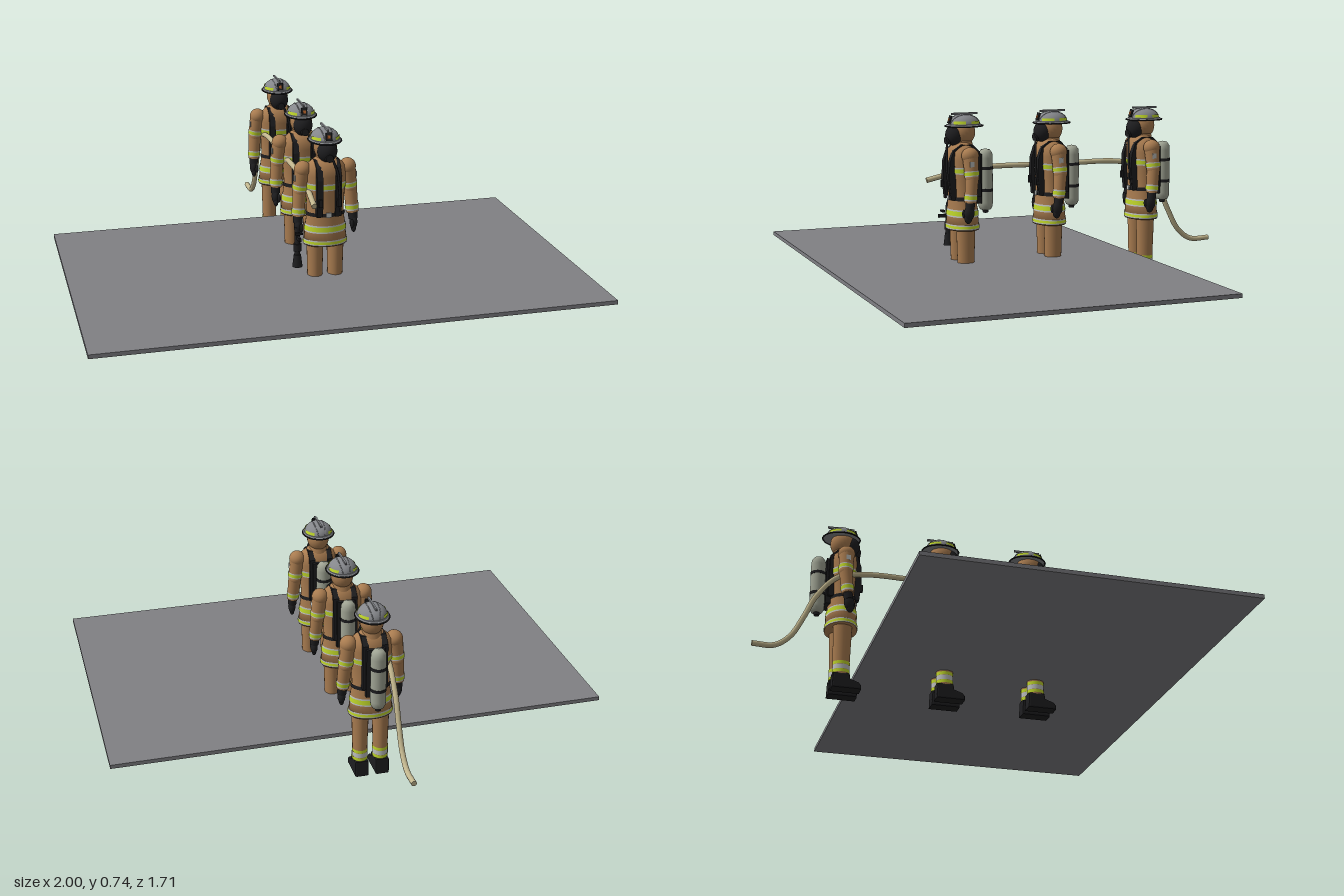
import * as THREE from 'three';

const mat = (name, color, side = THREE.FrontSide) => {
  const m = new THREE.MeshStandardMaterial({ color, side });
  m.name = name;
  return m;
};
const M = {
  coat: mat('tan cloth', 0xa97c50),
  lime: mat('lime reflective', 0xbfd62a, THREE.DoubleSide),
  silver: mat('silver reflective', 0xbfc2c0, THREE.DoubleSide),
  black: mat('black rubber', 0x1e1e20),
  helmet: mat('helmet grey', 0x85878b),
  tank: mat('tank grey green', 0xa0a494),
  hose: mat('hose canvas', 0xc2b68e),
  slab: mat('slab grey', 0x808084),
  badge: mat('badge orange', 0xb8642c),
};
const V = (x, y, z) => new THREE.Vector3(x, y, z);
const UP = V(0, 1, 0);

function add(parent, name, geo, material, x = 0, y = 0, z = 0) {
  const m = new THREE.Mesh(geo, material);
  m.name = name;
  m.position.set(x, y, z);
  parent.add(m);
  return m;
}
const box = (w, h, d) => new THREE.BoxGeometry(w, h, d);
const ball = (rx, ry, rz) => new THREE.SphereGeometry(1, 24, 16).scale(rx, ry, rz);

// Tapered cylinder from point a to point b
function limb(parent, name, a, b, ra, rb, material, open = false) {
  const d = b.clone().sub(a);
  const m = add(parent, name, new THREE.CylinderGeometry(rb, ra, d.length(), 20, 1, open), material);
  m.position.copy(a).addScaledVector(d, 0.5);
  m.quaternion.setFromUnitVectors(UP, d.normalize());
  return m;
}

// Side outline in (z, y) given a thickness along x
function sidePlate(points, width, bevel = 0) {
  const shape = new THREE.Shape(points.map(p => new THREE.Vector2(...p)));
  const depth = width - 2 * bevel;
  const geo = new THREE.ExtrudeGeometry(shape, {
    depth, bevelEnabled: bevel > 0, bevelSize: bevel, bevelThickness: bevel, bevelOffset: -bevel, bevelSegments: 2,
  });
  return geo.translate(0, 0, -depth / 2).rotateY(-Math.PI / 2);
}

// Coat half-width by height; the depth is a fixed share of it
const COAT = [[0.268, 0.087], [0.33, 0.081], [0.4, 0.073], [0.47, 0.076], [0.55, 0.082], [0.585, 0.078], [0.605, 0.055], [0.622, 0.034]];
const DEPTH = 0.75;
function coatRadius(y) {
  const i = Math.max(1, COAT.findIndex(p => p[0] >= y));
  const [y0, r0] = COAT[i - 1], [y1, r1] = COAT[i];
  return r0 + (r1 - r0) * (y - y0) / (y1 - y0);
}
const lathe = pts => new THREE.LatheGeometry(pts.map(([y, r]) => new THREE.Vector2(r, y)), 32).scale(1, 1, DEPTH);

function coatBand(parent, name, y0, y1, material, off = 0.002) {
  add(parent, name, lathe([[y0, coatRadius(y0) + off], [y1, coatRadius(y1) + off]]), material);
}

function buildCoat(g) {
  add(g, 'coat', lathe([[0.27, 0], ...COAT]), M.coat);
  add(g, 'collar', new THREE.CylinderGeometry(0.035, 0.043, 0.035, 20, 1), M.coat, 0, 0.612, -0.004);
  coatBand(g, 'hemSilver', 0.272, 0.292, M.silver);
  coatBand(g, 'hemLime', 0.277, 0.287, M.lime, 0.003);
  coatBand(g, 'waistSilver', 0.322, 0.352, M.silver);
  coatBand(g, 'waistLime', 0.328, 0.346, M.lime, 0.003);
  coatBand(g, 'chestSilver', 0.495, 0.522, M.silver);
  coatBand(g, 'chestLime', 0.5, 0.516, M.lime, 0.003);
  coatBand(g, 'belt', 0.388, 0.403, M.black, 0.004);
  add(g, 'buckle', box(0.02, 0.018, 0.008), M.silver, 0, 0.396, 0.058);
}

function buildArm(g, s) {
  const shoulder = V(s * 0.09, 0.572, -0.003), elbow = V(s * 0.102, 0.485, -0.006), wrist = V(s * 0.11, 0.385, 0.004);
  add(g, 'shoulder', ball(0.033, 0.033, 0.035), M.coat).position.copy(shoulder);
  limb(g, 'upperArm', shoulder, elbow, 0.032, 0.027, M.coat);
  add(g, 'elbow', ball(0.027, 0.027, 0.029), M.coat).position.copy(elbow);
  limb(g, 'foreArm', elbow, wrist, 0.027, 0.024, M.coat);
  const ring = (a, b, t0, t1, r, m) =>
    limb(g, 'armStripe', a.clone().lerp(b, t0), a.clone().lerp(b, t1), r, r - 0.001, m, true);
  ring(shoulder, elbow, 0.7, 0.95, 0.03, M.silver);
  ring(shoulder, elbow, 0.75, 0.9, 0.031, M.lime);
  ring(elbow, wrist, 0.66, 0.92, 0.0265, M.silver);
  ring(elbow, wrist, 0.72, 0.86, 0.0275, M.lime);
  add(g, 'sleevePatch', box(0.004, 0.022, 0.018), M.silver, s * 0.123, 0.54, 0);
  // Glove with fingers and thumb
  limb(g, 'gloveCuff', wrist, V(s * 0.112, 0.358, 0.008), 0.019, 0.018, M.black);
  add(g, 'glove', ball(0.015, 0.03, 0.021), M.black, s * 0.113, 0.345, 0.01);
  add(g, 'fingers', ball(0.01, 0.022, 0.016), M.black, s * 0.112, 0.325, 0.014);
  add(g, 'thumb', ball(0.008, 0.018, 0.008), M.black, s * 0.102, 0.342, 0.028);
}

function buildLeg(g, s) {
  const x = s * 0.041;
  add(g, 'trouserLeg', new THREE.CylinderGeometry(0.036, 0.029, 0.25, 20).scale(0.94, 1, 1.1), M.coat, x, 0.175, 0);
  [[0.073, M.lime], [0.09, M.silver], [0.107, M.lime]].forEach(([y, m]) =>
    add(g, 'trouserStripe', new THREE.CylinderGeometry(0.032, 0.032, m === M.lime ? 0.013 : 0.019, 20, 1, true).scale(0.96, 1, 1.08), m, x, y, 0));
  const boot = [[-0.038, 0], [0.078, 0], [0.078, 0.018], [0.068, 0.03], [0.034, 0.042], [0.031, 0.064], [-0.035, 0.064]];
  add(g, 'boot', sidePlate(boot, 0.056, 0.006), M.black, x, 0, 0);
}

function buildHead(g) {
  add(g, 'hood', ball(0.045, 0.055, 0.051), M.coat, 0, 0.658, -0.004);
  add(g, 'faceMask', ball(0.039, 0.044, 0.04), M.black, 0, 0.648, 0.028);
  add(g, 'regulator', new THREE.CylinderGeometry(0.015, 0.018, 0.02, 16).rotateX(Math.PI / 2), M.black, 0, 0.627, 0.06);
  // Helmet
  const h = new THREE.Group();
  h.name = 'helmet';
  h.position.set(0, 0.686, -0.01);
  g.add(h);
  add(h, 'dome', new THREE.SphereGeometry(1, 28, 12, 0, Math.PI * 2, 0, Math.PI / 2).scale(0.057, 0.046, 0.064), M.helmet);
  add(h, 'brim', new THREE.CylinderGeometry(0.058, 0.066, 0.008, 32).scale(1, 1, 1.2), M.helmet, 0, 0, 0);
  add(h, 'brimEdge', new THREE.TorusGeometry(0.064, 0.003, 6, 32).rotateX(Math.PI / 2).scale(1, 1, 1.2), M.black, 0, -0.003, 0);
  for (const a of [0.55, 1.75, 3.69, 4.89])
    add(h, 'helmetStripe', new THREE.CylinderGeometry(0.0555, 0.058, 0.011, 10, 1, true, a, 0.85).scale(1, 1, 1.12), M.lime, 0, 0.013, 0);
  add(h, 'crest', box(0.007, 0.008, 0.11), M.helmet, 0, 0.046, -0.002);
  for (const s of [-1, 1]) {
    const rib = add(h, 'rib', new THREE.TorusGeometry(1, 0.03, 6, 24, Math.PI).rotateY(Math.PI / 2).scale(0.06, 0.044, 0.062), M.helmet, s * 0.012, 0, 0);
    rib.rotation.z = -s * 0.2;
  }
  const shield = add(h, 'frontShield', box(0.024, 0.032, 0.006), M.black, 0, 0.024, 0.06);
  shield.rotation.x = -0.3;
  const badge = add(h, 'shieldBadge', box(0.011, 0.012, 0.003), M.badge, 0, 0.024, 0.064);
  badge.rotation.x = -0.3;
}

function buildAirPack(g) {
  const strap = [[0.062, 0.39], [0.07, 0.47], [0.068, 0.54], [0.052, 0.588], [0.02, 0.612], [-0.03, 0.61], [-0.06, 0.58], [-0.066, 0.4]];
  for (const s of [-1, 1]) {
    add(g, 'shoulderStrap', sidePlate(strap, 0.024), M.black, s * 0.037, 0, 0);
    add(g, 'strapClip', box(0.014, 0.03, 0.012), M.black, s * 0.037, 0.45, 0.071);
  }
  add(g, 'backPlate', box(0.075, 0.2, 0.02), M.black, 0, 0.47, -0.062);
  const profile = [[0.012, 0.338], [0.022, 0.341], [0.029, 0.355], [0.03, 0.37], [0.03, 0.55], [0.028, 0.57], [0.018, 0.584], [0, 0.588]];
  add(g, 'airTank', new THREE.LatheGeometry(profile.map(p => new THREE.Vector2(...p)), 24), M.tank, 0, 0, -0.1);
  for (const y of [0.42, 0.51])
    add(g, 'tankStrap', new THREE.CylinderGeometry(0.0315, 0.0315, 0.012, 24), M.black, 0, y, -0.1);
  add(g, 'tankValve', new THREE.CylinderGeometry(0.014, 0.011, 0.018, 12), M.black, 0, 0.336, -0.1);
  // Air line from the mask down to the belt
  const line = new THREE.CatmullRomCurve3([V(0.012, 0.622, 0.066), V(0.03, 0.57, 0.074), V(0.037, 0.5, 0.076), V(0.045, 0.41, 0.062)]);
  add(g, 'airLine', new THREE.TubeGeometry(line, 20, 0.005, 8), M.black);
}

// Hand tool hanging from the right glove
function buildTool(g) {
  const t = new THREE.Group();
  t.name = 'handTool';
  t.position.set(-0.117, 0, 0.02);
  g.add(t);
  add(t, 'toolShaft', new THREE.CylinderGeometry(0.011, 0.011, 0.12, 14), M.black, 0, 0.285, 0);
  add(t, 'toolCollar', new THREE.CylinderGeometry(0.016, 0.016, 0.03, 14), M.black, 0, 0.262, 0);
  add(t, 'toolHead', new THREE.CylinderGeometry(0.014, 0.02, 0.05, 14), M.black, 0, 0.207, 0);
  add(t, 'toolGrip', box(0.01, 0.014, 0.045), M.black, 0, 0.305, 0.02);
  add(t, 'toolLever', box(0.03, 0.008, 0.012), M.black, 0, 0.325, 0.024);
}

function firefighter(z, withTool) {
  const g = new THREE.Group();
  g.name = 'firefighter';
  g.position.z = z;
  buildCoat(g);
  for (const s of [-1, 1]) {
    buildArm(g, s);
    buildLeg(g, s);
  }
  buildHead(g);
  buildAirPack(g);
  if (withTool) buildTool(g);
  return g;
}

export function createModel() {
  const root = new THREE.Group();
  root.name = 'hoseTeam';
  add(root, 'groundSlab', box(2, 0.016, 1.275), M.slab, 0, 0.128, 0.2175);
  [0.3, -0.08, -0.5].forEach((z, i) => root.add(firefighter(z, i === 0)));

  // Hose carried by the whole team, trailing down behind
  const path = new THREE.CatmullRomCurve3([
    V(-0.076, 0.46, 0.425), V(-0.073, 0.474, 0.365), V(-0.067, 0.5, 0.25), V(-0.065, 0.506, 0.15), V(-0.065, 0.504, -0.15),
    V(-0.065, 0.502, -0.42), V(-0.065, 0.475, -0.53), V(-0.065, 0.38, -0.615), V(-0.065, 0.285, -0.66),
    V(-0.065, 0.195, -0.71), V(-0.065, 0.15, -0.77), V(-0.065, 0.148, -0.858),
  ]);
  add(root, 'hose', new THREE.TubeGeometry(path, 100, 0.011, 12), M.hose);
  const ends = [[0, -1], [1, 1]];
  for (const [t, s] of ends) {
    const cap = add(root, 'hoseEnd', new THREE.CircleGeometry(0.011, 12), M.hose);
    cap.position.copy(path.getPointAt(t));
    cap.quaternion.setFromUnitVectors(V(0, 0, 1), path.getTangentAt(t).multiplyScalar(s));
  }
  return root;
}
